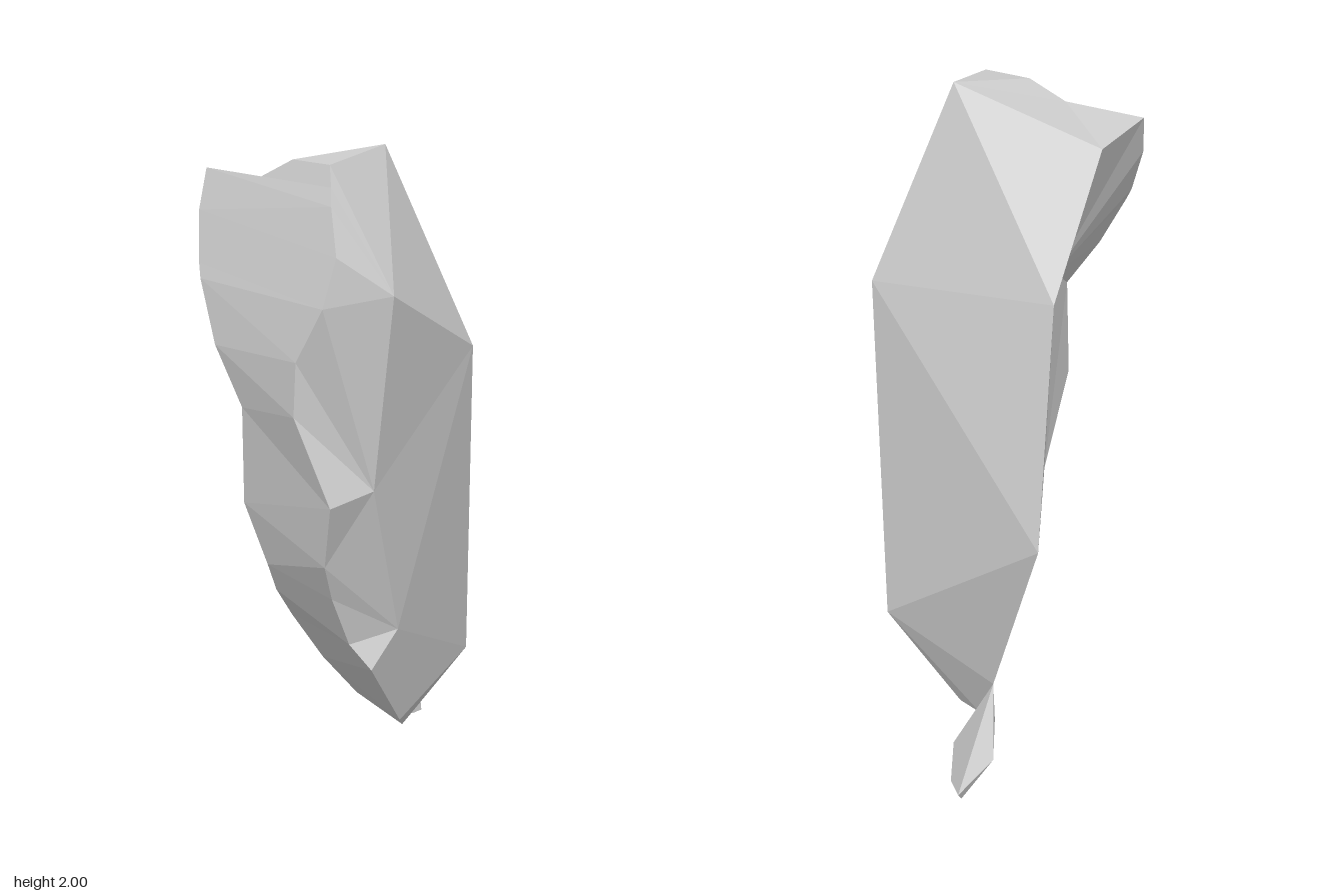
import * as THREE from 'three';

const material = new THREE.MeshStandardMaterial({
  color: 0xcccccc, flatShading: true, side: THREE.DoubleSide,
});

// Triangles around a centre corner, counter-clockwise from outside
const fan = (centre, ring) =>
  ring.slice(1).flatMap((p, i) => [centre, ring[i], p]);

// Band of quads between two edges of equal length
const strip = (front, back) =>
  front.slice(1).flatMap((f, i) => [
    back[i], back[i + 1], f,
    back[i], f, front[i],
  ]);

function part(name, ...patches) {
  const geometry = new THREE.BufferGeometry();
  geometry.setAttribute('position',
    new THREE.Float32BufferAttribute(patches.flat(2), 3));
  geometry.computeVertexNormals();
  const mesh = new THREE.Mesh(geometry, material);
  mesh.name = name;
  return mesh;
}

export function createModel() {
  // Central ridge
  const top = [-0.04, 2, 0.17];
  const ridge = [0.18, 1.42, 0.305];
  const ridgeLow = [0.31, 0.4, 0.145];

  // Corners of the front plate next to the notches
  const brow = [-0.26, 1.64, 0.5];
  const cheek = [-0.295, 1.1, 0.46];
  const jaw = [-0.155, 0.645, 0.39];

  // Rear corners
  const rearHigh = [0.17, 1.51, -0.39];
  const rearMid = [0.355, 0.86, -0.5];
  const rearLow = [0.27, 0.29, -0.26];
  const backCentre = [-0.15, 0.81, -0.1];
  const finRoot = [-0.245, 1.83, -0.22];
  const backNotch = [-0.32, 1.38, 0.01];

  // Bottom keel
  const keel = [[0.07, 0.19, 0.125], [0.2, 0.11, -0.06], [0.21, 0.11, -0.15]];

  // Edges of the curved side band, from the top down
  const front = [
    [-0.32, 1.97, 0.295], [-0.345, 1.915, 0.335], [-0.345, 1.915, 0.335],
    [-0.37, 1.87, 0.37], [-0.415, 1.75, 0.455], [-0.46, 1.62, 0.455],
    [-0.495, 1.47, 0.38], [-0.5, 1.32, 0.375], [-0.46, 1.085, 0.485],
    [-0.44, 0.9, 0.43], [-0.395, 0.79, 0.4], [-0.325, 0.635, 0.385],
    [-0.28, 0.56, 0.43], [-0.08, 0.31, 0.305], keel[0],
  ];
  const back = [
    [-0.32, 1.97, 0.12], [-0.345, 1.915, 0], [-0.345, 1.915, -0.29],
    [-0.395, 1.8, -0.255], [-0.445, 1.66, -0.18], [-0.46, 1.62, -0.15],
    [-0.49, 1.45, -0.03], [-0.48, 1.29, 0.09], [-0.46, 1.0, 0.06],
    [-0.42, 0.82, 0.117], [-0.38, 0.73, 0.1], [-0.32, 0.637, 0.09],
    [-0.23, 0.49, 0.12], [-0.06, 0.31, 0.06], keel[0],
  ];
  const chin = front[13];
  const finTip = back[2];

  const group = new THREE.Group();
  group.name = 'facetedShell';

  group.add(part('outerPlates',
    fan(ridge, [top, brow, cheek, jaw, ridgeLow, rearMid, rearHigh, top]),
    fan(ridgeLow, [chin, ...keel, rearLow, rearMid])));

  group.add(part('notchedFrontEdge',
    fan(brow, [top, ...front.slice(0, 6)]),
    fan(cheek, [brow, ...front.slice(5, 10)]),
    fan(jaw, [cheek, ...front.slice(9, 14), ridgeLow])));

  group.add(part('crown',
    fan(top, [rearHigh, finRoot, back[1], back[0], front[0]]),
    fan(finRoot, [finTip, back[1]])));

  group.add(part('sideBand', strip(front, back)));

  group.add(part('backFace',
    fan(backCentre, [backNotch, rearHigh, rearMid, rearLow,
      keel[2], keel[1], ...back.slice(7).reverse(), backNotch]),
    fan(backNotch, [...back.slice(2, 8).reverse(), finRoot, rearHigh])));

  // Small spur at the lower end
  const tip = [0.495, 0.035, -0.32];
  const sole = [[0.33, 0.06, -0.15], [0.435, 0.015, -0.235]];
  const heel = [0.36, 0.1, -0.34];
  const inner = [0.24, 0.14, -0.24];
  group.add(part('spur',
    fan(rearLow, [keel[2], ...sole, tip, heel, inner]),
    fan([0.47, 0.005, -0.31],
      [tip, sole[1], sole[0], keel[2], inner, heel, tip])));

  return group;
}
